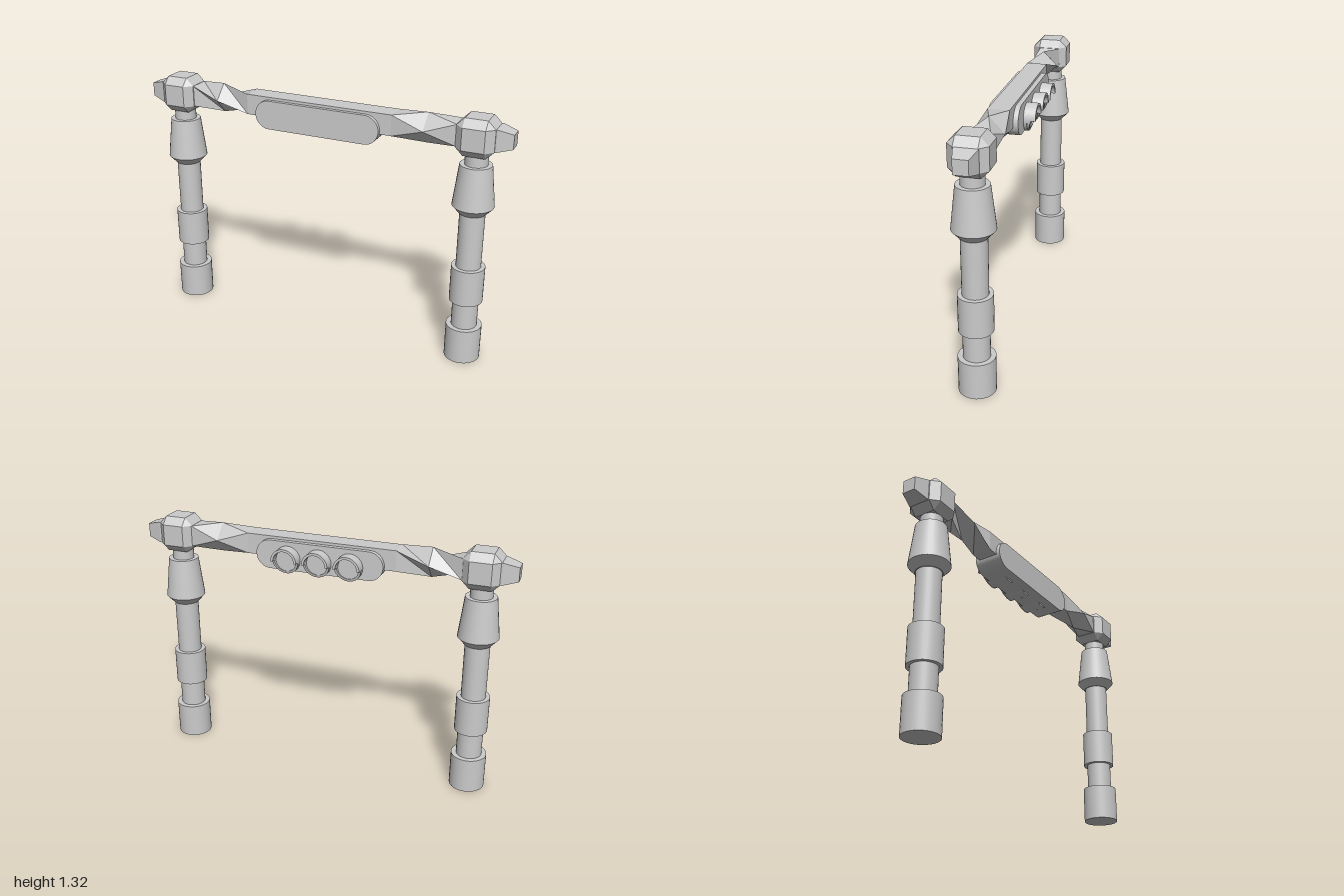
import * as THREE from 'three';
import { ConvexGeometry } from 'three/addons/geometries/ConvexGeometry.js';

const smooth = new THREE.MeshStandardMaterial({ color: 0xcccccc });
const flat = new THREE.MeshStandardMaterial({ color: 0xcccccc, flatShading: true });

const BEAM_Y = 1.226, BEAM_Z = 0.014;
const POST_X = 0.823, POST_Z = 0.018;

function add(parent, name, geometry, material, x = 0, y = 0, z = 0) {
  const mesh = new THREE.Mesh(geometry, material);
  mesh.name = name;
  mesh.position.set(x, y, z);
  parent.add(mesh);
  return mesh;
}

// Square cross-sections lofted along x: [x, half side, twist in degrees]
function squareLoft(rings) {
  const corners = rings.map(([x, half, twist]) => [0, 1, 2, 3].map((k) => {
    const a = THREE.MathUtils.degToRad(45 + 90 * k + twist), r = half * Math.SQRT2;
    return [x, r * Math.cos(a), r * Math.sin(a)];
  }));
  const pos = [];
  const quad = (a, b, c, d) => pos.push(...a, ...b, ...c, ...a, ...c, ...d);
  for (let i = 0; i < corners.length - 1; i++) {
    for (let k = 0; k < 4; k++) {
      const n = (k + 1) % 4;
      quad(corners[i][k], corners[i][n], corners[i + 1][n], corners[i + 1][k]);
    }
  }
  const [s, e] = [corners[0], corners[corners.length - 1]];
  quad(s[3], s[2], s[1], s[0]);
  quad(e[0], e[1], e[2], e[3]);
  const g = new THREE.BufferGeometry();
  g.setAttribute('position', new THREE.Float32BufferAttribute(pos, 3));
  g.computeVertexNormals();
  return g;
}

// Cube with all edges and corners bevelled
function bevelledCube(half, inner) {
  const pts = [];
  for (const sx of [-1, 1]) for (const sy of [-1, 1]) for (const sz of [-1, 1]) {
    for (let axis = 0; axis < 3; axis++) {
      const v = new THREE.Vector3(sx, sy, sz).multiplyScalar(inner);
      v.setComponent(axis, Math.sign(v.getComponent(axis)) * half);
      pts.push(v);
    }
  }
  return new ConvexGeometry(pts);
}

// Half of a ring, extruded backwards from z = 0
function halfRing(outer, inner, from, depth) {
  const s = new THREE.Shape();
  s.absarc(0, 0, outer, from, from + Math.PI, false);
  s.absarc(0, 0, inner, from + Math.PI, from, true);
  const g = new THREE.ExtrudeGeometry(s, { depth, bevelEnabled: false, curveSegments: 20 });
  return g.translate(0, 0, -depth);
}

function makePost() {
  const post = new THREE.Group();
  // [name, bottom y, top y, bottom radius, top radius]
  const sections = [
    ['foot', 0, 0.19, 0.093, 0.093],
    ['lowerShaft', 0.19, 0.335, 0.067, 0.067],
    ['sleeve', 0.335, 0.53, 0.086, 0.086],
    ['upperShaft', 0.53, 0.825, 0.064, 0.064],
    ['collarFlare', 0.825, 0.865, 0.068, 0.105],
    ['collar', 0.865, 1.08, 0.105, 0.08],
    ['neck', 1.08, 1.18, 0.057, 0.057],
  ];
  for (const [name, y0, y1, r0, r1] of sections) {
    add(post, name, new THREE.CylinderGeometry(r1, r0, y1 - y0, 32), smooth, 0, (y0 + y1) / 2, 0);
  }
  add(post, 'bevelledJoint', bevelledCube(0.095, 0.056), flat, 0, 1.226, 0);
  return post;
}

function makeLamp() {
  const lamp = new THREE.Group();
  const r = 0.07, inner = 0.057;
  // Round body running through the housing, ending in the lens
  const body = new THREE.CylinderGeometry(r, r, 0.115, 32).rotateX(Math.PI / 2);
  add(lamp, 'lampBody', body, smooth, 0, 0, -0.0225);
  // Visor over the upper half
  add(lamp, 'visor', halfRing(r, inner, 0, 0.06), smooth, 0, 0, -0.065);
  // Sloping lip around the lower half
  const lip = halfRing(r, inner, Math.PI, 0.02);
  const p = lip.attributes.position;
  for (let i = 0; i < p.count; i++) {
    if (p.getZ(i) < -0.01) p.setZ(i, -0.02 * (1 + p.getY(i) / r));
  }
  lip.computeVertexNormals();
  add(lamp, 'lowerLip', lip, smooth, 0, 0, -0.082);
  return lamp;
}

export function createModel() {
  const model = new THREE.Group();
  model.name = 'signalGantry';

  // Posts
  for (const side of [1, -1]) {
    const post = makePost();
    post.name = side > 0 ? 'leftPost' : 'rightPost';
    post.position.set(side * POST_X, 0, POST_Z);
    model.add(post);
  }

  // Crossbeam: tapered ends, quarter twists, straight middle
  const half = [[-1, 0.036, 0], [-0.925, 0.056, 0], [-0.73, 0.055, 0], [-0.57, 0.055, 45], [-0.4, 0.054, 90]];
  const mirrored = half.map(([x, h, t]) => [-x, h, t]).reverse();
  add(model, 'crossbeam', squareLoft([...half, ...mirrored]), flat, 0, BEAM_Y, BEAM_Z);

  // Housing with rounded ends
  const r = 0.076, cx = 0.342 - r;
  const outline = new THREE.Shape();
  outline.absarc(cx, 0, r, -Math.PI / 2, Math.PI / 2, false);
  outline.absarc(-cx, 0, r, Math.PI / 2, Math.PI * 1.5, false);
  const housing = new THREE.ExtrudeGeometry(outline, { depth: 0.154, bevelEnabled: false, curveSegments: 16 });
  add(model, 'housing', housing, smooth, 0, 1.19, -0.065);

  // Three lamps facing the back
  for (const x of [-0.168, 0, 0.168]) {
    const lamp = makeLamp();
    lamp.name = 'lamp';
    lamp.position.set(x, 1.174, 0);
    model.add(lamp);
  }
  return model;
}
